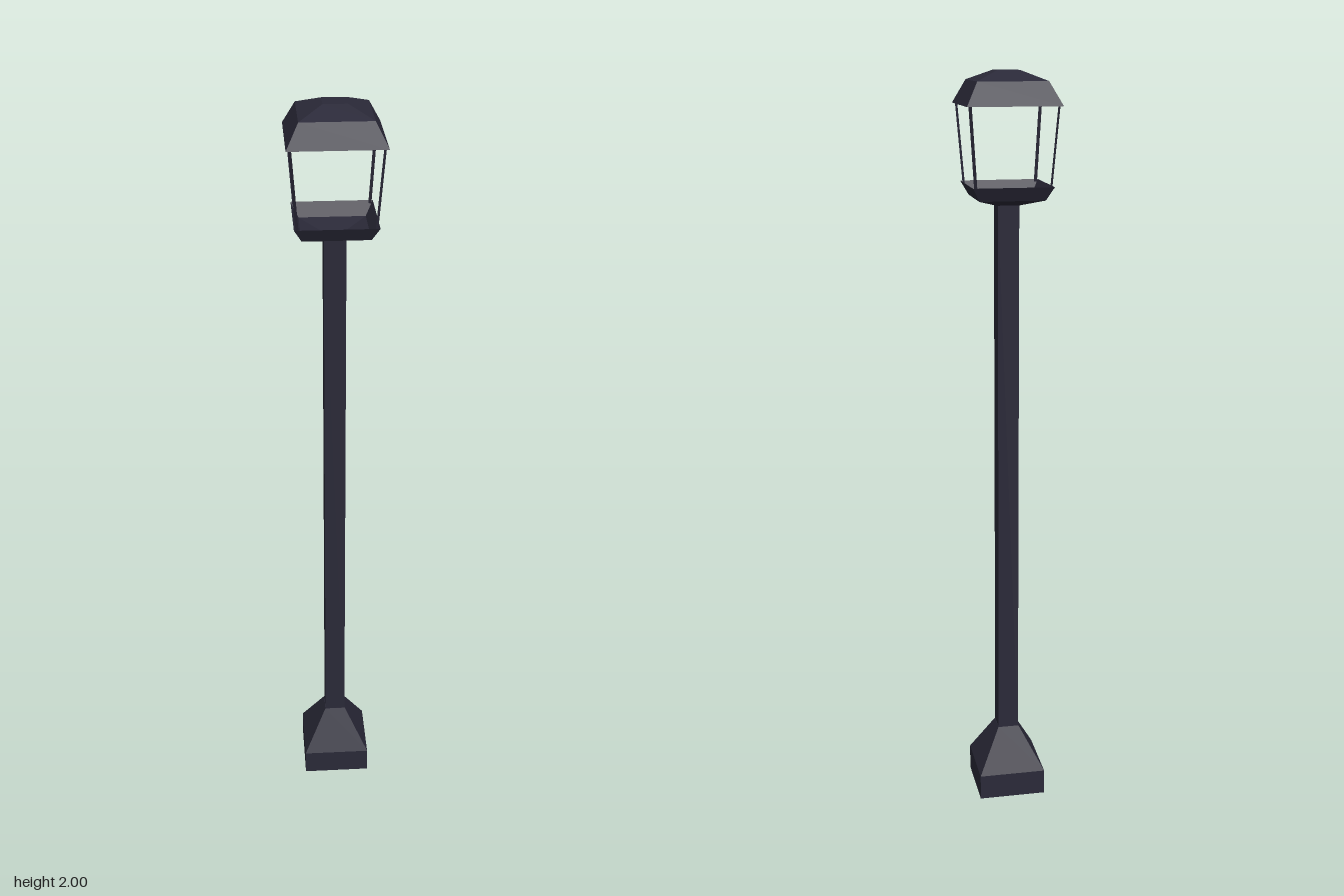
import * as THREE from 'three';

const metal = new THREE.MeshStandardMaterial({ color: 0x2a2938, flatShading: true });
const sheet = new THREE.MeshStandardMaterial({ color: 0x2a2938, flatShading: true, side: THREE.DoubleSide });

// Square loft: each ring is [half width, height], listed from bottom to top
function squareLoft(name, rings, material) {
  const points = rings.map(([half, y]) => new THREE.Vector2(half * Math.SQRT2, y));
  const mesh = new THREE.Mesh(new THREE.LatheGeometry(points, 4, Math.PI / 4), material);
  mesh.name = name;
  return mesh;
}

export function createModel() {
  const lamp = new THREE.Group();
  lamp.name = 'streetLamp';

  // Plinth with a tapered shoulder, then the square post
  lamp.add(squareLoft('base', [[0, 0], [0.092, 0], [0.092, 0.07], [0.029, 0.187], [0, 0.187]], metal));
  lamp.add(squareLoft('post', [[0.028, 0.18], [0.028, 1.668], [0, 1.668]], metal));

  // Open lantern tray and hollow roof, both thin shells
  lamp.add(squareLoft('lanternTray', [[0, 1.666], [0.03, 1.666], [0.085, 1.683], [0.104, 1.718]], sheet));
  lamp.add(squareLoft('lanternRoof', [[0.121, 1.916], [0.09, 1.975], [0.03, 2], [0, 2]], sheet));

  // Flat corner strips that lean outward from tray to roof
  const low = new THREE.Vector2(0.096 * Math.SQRT2, 1.712);
  const high = new THREE.Vector2(0.112 * Math.SQRT2, 1.922);
  const mid = low.clone().add(high).multiplyScalar(0.5);
  const stripGeometry = new THREE.PlaneGeometry(0.01, low.distanceTo(high));
  stripGeometry.rotateX(Math.atan2(high.x - low.x, high.y - low.y));
  stripGeometry.translate(0, mid.y, mid.x);
  for (let i = 0; i < 4; i++) {
    const strip = new THREE.Mesh(stripGeometry, sheet);
    strip.name = 'lanternStrut';
    strip.rotation.y = Math.PI / 4 + i * Math.PI / 2;
    lamp.add(strip);
  }
  return lamp;
}
